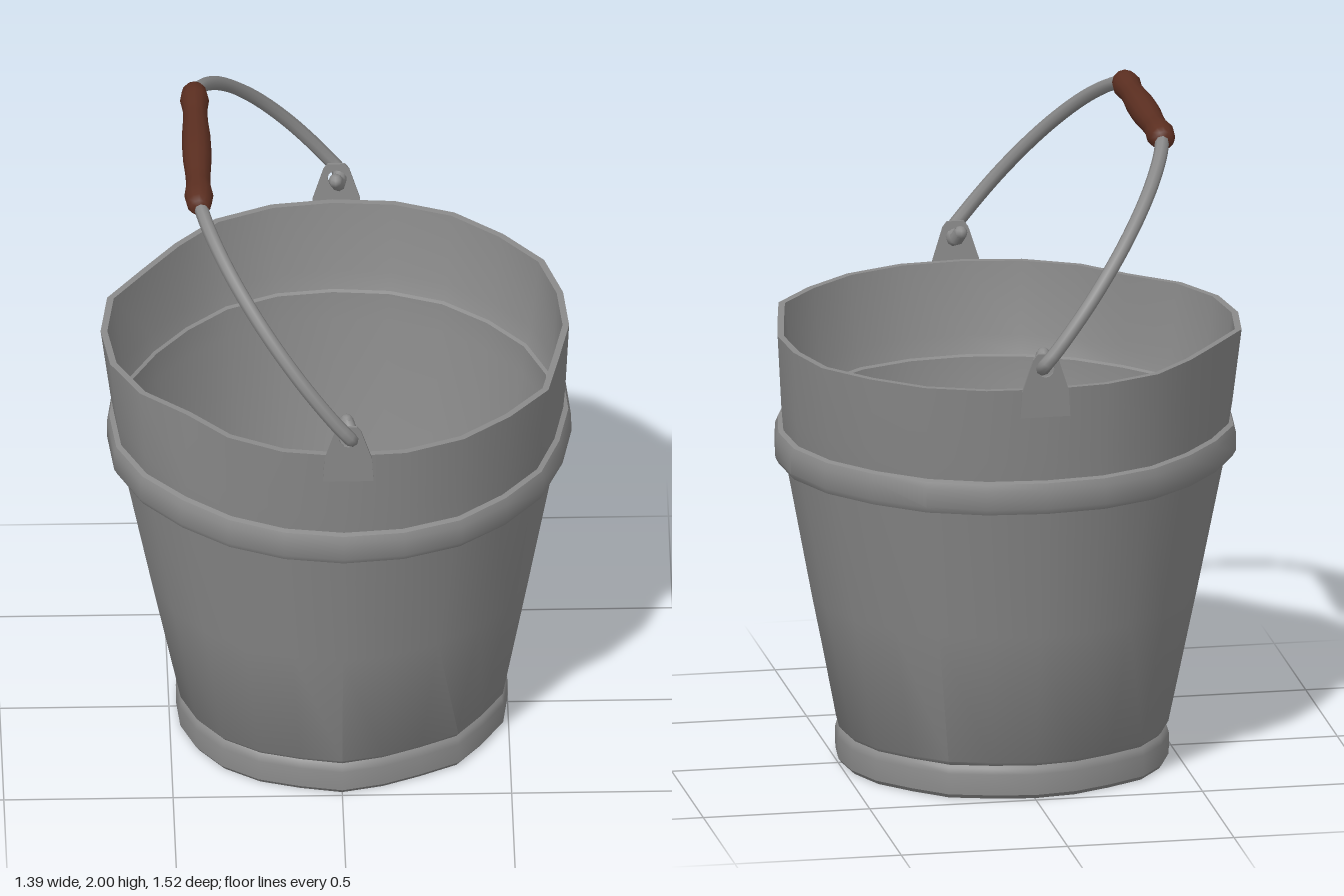
import * as THREE from 'three';
import { mergeVertices, toCreasedNormals } from 'three/addons/utils/BufferGeometryUtils.js';

const metal = new THREE.MeshStandardMaterial({ color: 0x8a8a8a, side: THREE.DoubleSide });
const wood = new THREE.MeshStandardMaterial({ color: 0x5c2f21 });

// battered outlines: radius every 15 degrees, from +x towards +z, at three heights
const SIDES = 24;
const OUTLINES = [
  { y: 0.1, r: 0.49, radii: [0.498, 0.50, 0.485, 0.49, 0.47, 0.475, 0.49, 0.48, 0.49, 0.495, 0.49, 0.485,
    0.478, 0.485, 0.49, 0.495, 0.48, 0.485, 0.488, 0.485, 0.50, 0.49, 0.50, 0.50] },
  { y: 1.0, r: 0.69, radii: [0.688, 0.68, 0.69, 0.69, 0.70, 0.695, 0.69, 0.685, 0.68, 0.675, 0.685, 0.69,
    0.683, 0.685, 0.67, 0.67, 0.685, 0.69, 0.688, 0.695, 0.70, 0.695, 0.70, 0.70] },
  { y: 1.32, r: 0.70, radii: [0.68, 0.67, 0.705, 0.70, 0.71, 0.71, 0.70, 0.695, 0.68, 0.65, 0.685, 0.70,
    0.70, 0.70, 0.66, 0.665, 0.695, 0.70, 0.70, 0.71, 0.715, 0.705, 0.71, 0.69] },
];

function mesh(name, geometry, material) {
  const m = new THREE.Mesh(geometry, material);
  m.name = name;
  return m;
}

const points = (list) => list.map(([x, y]) => new THREE.Vector2(x, y));

// How far the outline is pushed in or out at a side and height
function dent(side, y) {
  const [foot, band, rim] = OUTLINES;
  const [low, high] = y < band.y ? [foot, band] : [band, rim];
  const t = THREE.MathUtils.clamp((y - low.y) / (high.y - low.y), 0, 1);
  return THREE.MathUtils.lerp(low.radii[side] / low.r, high.radii[side] / high.r, t);
}

// Turned shell with the dents pressed in
function dentedShell(profile) {
  let g = new THREE.LatheGeometry(points(profile), SIDES);
  g.deleteAttribute('normal');
  g.deleteAttribute('uv');
  const p = g.attributes.position;
  for (let i = 0; i < p.count; i++) {
    const x = p.getX(i), y = p.getY(i), z = p.getZ(i);
    const side = Math.round(Math.atan2(z, x) / (Math.PI * 2) * SIDES);
    const s = dent((side + SIDES) % SIDES, y);
    p.setXYZ(i, x * s, y, z * s);
  }
  g = mergeVertices(g, 1e-4);
  return toCreasedNormals(g, 0.6);
}

export function createModel() {
  const model = new THREE.Group();
  model.name = 'bucket';

  // Body: underside, foot ring, wall, raised band, rim, then back down inside
  model.add(mesh('body', dentedShell([
    [0, 0.005], [0.482, 0],
    [0.491, 0.012], [0.492, 0.075], [0.487, 0.092], [0.48, 0.1], [0.49, 0.112],
    [0.575, 0.52], [0.656, 0.925],
    [0.68, 0.93], [0.69, 0.948], [0.69, 1.005], [0.683, 1.025], [0.668, 1.03],
    [0.678, 1.1], [0.702, 1.32],
    [0.682, 1.32], [0.658, 1.1], [0.642, 1.045],
    [0.632, 1.04], [0.627, 0.95], [0.547, 0.52], [0.465, 0.1], [0, 0.1],
  ]), metal));

  // Ears: thin plates with a hole for the wire, leaning out slightly
  const plate = new THREE.Shape(points([
    [-0.075, 1.24], [0.075, 1.24], [0.07, 1.32], [0.038, 1.42], [0.025, 1.437],
    [-0.025, 1.437], [-0.038, 1.42], [-0.07, 1.32],
  ]));
  const hole = new THREE.Path();
  hole.absarc(0, 1.39, 0.026, 0, Math.PI * 2, true);
  plate.holes.push(hole);
  const earGeometry = new THREE.ExtrudeGeometry(plate, { depth: 0.008, bevelEnabled: false, curveSegments: 6 });
  earGeometry.translate(0, 0, -0.004);
  for (const side of [1, -1]) {
    const ear = mesh(side > 0 ? 'frontEar' : 'backEar', earGeometry, metal);
    ear.rotation.x = side * 0.06;
    ear.position.set(0.012, 0, side * 0.632);
    model.add(ear);
  }

  // Wire bail: half the path as [z, y], mirrored; it leans towards -x as it rises
  const half = [[0.655, 1.415], [0.675, 1.388], [0.705, 1.385], [0.735, 1.4], [0.741, 1.45],
    [0.712, 1.59], [0.628, 1.74], [0.49, 1.87], [0.32, 1.95], [0.15, 1.958]];
  const path = [...half, ...half.slice().reverse().map(([z, y]) => [-z, y])]
    .map(([z, y]) => new THREE.Vector3(0.02 - Math.max(0, y - 1.4) * 0.786, y, z));
  const bail = new THREE.CatmullRomCurve3(path);
  model.add(mesh('handleWire', new THREE.TubeGeometry(bail, 90, 0.021, 8, false), metal));

  // Rounded caps on the hooked wire ends
  for (const end of [path[0], path[path.length - 1]]) {
    const cap = mesh('wireEnd', new THREE.SphereGeometry(0.021, 8, 6), metal);
    cap.position.copy(end);
    model.add(cap);
  }

  // Wooden grip with gentle finger swells
  const grip = mesh('grip', new THREE.LatheGeometry(points([
    [0, -0.327], [0.026, -0.325], [0.037, -0.305], [0.043, -0.26], [0.036, -0.2], [0.037, -0.15],
    [0.042, -0.07], [0.043, 0], [0.042, 0.07], [0.037, 0.15], [0.036, 0.2], [0.043, 0.26],
    [0.037, 0.305], [0.026, 0.325], [0, 0.327],
  ]), 12), wood);
  grip.rotation.x = Math.PI / 2;
  grip.position.set(-0.418, 1.957, 0);
  model.add(grip);

  return model;
}
